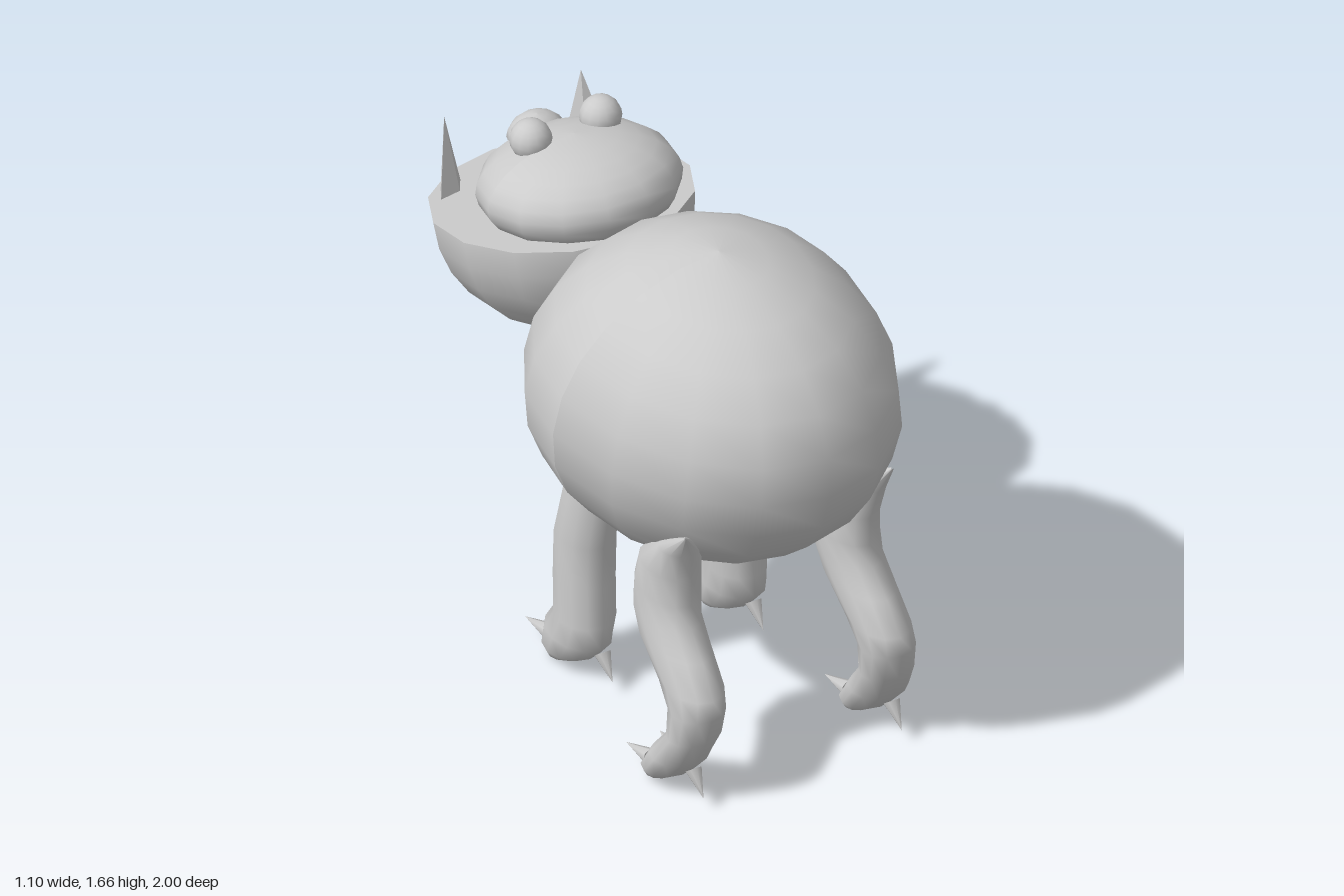
import * as THREE from 'three';

const grey = new THREE.MeshStandardMaterial({ color: 0xcccccc });
const faceted = new THREE.MeshStandardMaterial({ color: 0xcccccc, flatShading: true });
const V = (x, y, z) => new THREE.Vector3(x, y, z);

function add(parent, name, geometry, material = grey) {
  const mesh = new THREE.Mesh(geometry, material);
  mesh.name = name;
  parent.add(mesh);
  return mesh;
}

// Move every vertex by a rule, then refresh the normals
function reshape(geometry, rule) {
  const p = geometry.attributes.position, v = V(0, 0, 0);
  for (let i = 0; i < p.count; i++) {
    rule(v.fromBufferAttribute(p, i));
    p.setXYZ(i, v.x, v.y, v.z);
  }
  return geometry;
}

// Skin over horizontal oval rings: [y, x, z, radiusX, radiusZ], top to bottom
function limb(rings, side, n = 12) {
  const pos = [], idx = [];
  rings.forEach(([y, x, z, rx, rz], i) => {
    for (let j = 0; j < n; j++) {
      const t = (j / n) * Math.PI * 2;
      pos.push(side * x + Math.cos(t) * rx, y, z + Math.sin(t) * rz);
      if (i === rings.length - 1) continue;
      const a = i * n + j, b = i * n + (j + 1) % n;
      idx.push(a, b, a + n, b, b + n, a + n);
    }
  });
  const g = new THREE.BufferGeometry();
  g.setAttribute('position', new THREE.Float32BufferAttribute(pos, 3));
  g.setIndex(idx);
  g.computeVertexNormals();
  return g;
}

// Cone from a base point to a tip
function spike(parent, name, base, tip, radius) {
  const dir = tip.clone().sub(base);
  const mesh = add(parent, name, new THREE.ConeGeometry(radius, dir.length(), 8));
  mesh.position.copy(base).addScaledVector(dir, 0.5);
  mesh.quaternion.setFromUnitVectors(V(0, 1, 0), dir.normalize());
}

const HIND = [
  [0.98, 0.37, 0.76, 0.005, 0.005], [0.89, 0.335, 0.665, 0.065, 0.07],
  [0.78, 0.32, 0.585, 0.085, 0.125], [0.68, 0.32, 0.57, 0.09, 0.14],
  [0.6, 0.325, 0.575, 0.09, 0.145], [0.52, 0.33, 0.63, 0.09, 0.165],
  [0.42, 0.335, 0.735, 0.09, 0.13], [0.35, 0.34, 0.775, 0.09, 0.09],
  [0.25, 0.345, 0.765, 0.09, 0.072], [0.15, 0.355, 0.7, 0.096, 0.09],
  [0.07, 0.355, 0.635, 0.09, 0.08], [0.025, 0.355, 0.605, 0.06, 0.045],
  [0.015, 0.355, 0.6, 0, 0],
];
const FORE = [
  [0.82, 0.25, 0.02, 0, 0], [0.78, 0.25, 0.015, 0.06, 0.06],
  [0.7, 0.25, 0.015, 0.09, 0.1], [0.51, 0.26, -0.02, 0.092, 0.11],
  [0.36, 0.265, -0.017, 0.092, 0.11], [0.22, 0.27, -0.005, 0.092, 0.11],
  [0.14, 0.275, -0.035, 0.095, 0.135], [0.07, 0.275, -0.07, 0.092, 0.105],
  [0.02, 0.275, -0.105, 0.06, 0.055], [0.01, 0.275, -0.11, 0, 0],
];

function leg(name, rings, side, footX, heelZ, toeZ) {
  const g = new THREE.Group();
  g.name = name;
  add(g, 'limb', limb(rings, side));
  const x = side * footX;
  spike(g, 'heelClaw', V(x, 0.13, heelZ - 0.06), V(x, 0.055, heelZ), 0.028);
  for (const s of [-1, 1]) {
    spike(g, 'toeClaw', V(x + s * 0.045, 0.085, toeZ + 0.12), V(x + s * 0.06, 0.075, toeZ), 0.028);
  }
  return g;
}

export function createModel() {
  const model = new THREE.Group();

  // Egg-shaped body, longer towards the rump and leaning back
  const body = reshape(new THREE.SphereGeometry(1, 16, 12), v => {
    const y = v.y * 0.53;
    v.set(v.x * 0.55, y + 1.145, v.z * (v.z < 0 ? 0.62 : 0.73) + 0.27 + 0.14 * y);
  });
  body.computeVertexNormals();
  add(model, 'body', body);

  // Bowl-shaped lower jaw with a flat top
  const jaw = new THREE.Group();
  jaw.name = 'lowerJaw';
  add(jaw, 'jawBowl', new THREE.SphereGeometry(0.415, 14, 7, 0, Math.PI * 2, Math.PI / 2, Math.PI / 2));
  add(jaw, 'jawTop', new THREE.CircleGeometry(0.415, 14).rotateX(-Math.PI / 2));
  jaw.position.set(0, 1.335, -0.59);
  jaw.rotation.set(-0.18, Math.PI / 2, 0);
  model.add(jaw);

  // Domed upper head, cut flat underneath
  const head = new THREE.SphereGeometry(1, 14, 14).scale(0.325, 0.165, 0.31)
    .rotateX(-0.18).translate(0, 1.445, -0.485);
  reshape(head, v => { v.y = Math.max(v.y, 1.374 + 0.077 * (v.z + 0.51)); });
  head.computeVertexNormals();
  add(model, 'upperHead', head);

  // Snout knob, narrowing downwards
  const nose = reshape(new THREE.SphereGeometry(1, 12, 10), v => {
    const k = v.y < 0 ? 1 + 0.35 * v.y : 1;
    v.set(v.x * 0.098 * k, v.y * 0.08 + 1.47, v.z * 0.085 * k - 0.735);
  });
  nose.computeVertexNormals();
  add(model, 'nose', nose);

  for (const side of [-1, 1]) {
    const label = side > 0 ? 'left' : 'right';
    add(model, label + 'Eye', new THREE.SphereGeometry(0.067, 14, 10))
      .position.set(side * 0.125, 1.6, -0.565);

    // Flattened four-sided tusk along the jaw rim
    const tusk = new THREE.ConeGeometry(1, 0.27, 4).scale(0.078, 1, 0.035)
      .rotateY(-side * 0.62).translate(side * 0.245, 1.405, -0.84);
    reshape(tusk, v => { v.z -= Math.max(0, v.y - 1.27) * 0.15; });
    add(model, label + 'Tusk', tusk, faceted);

    model.add(leg(label + 'HindLeg', HIND, side, 0.355, 0.84, 0.48));
    model.add(leg(label + 'ForeLeg', FORE, side, 0.27, 0.16, -0.26));
  }
  return model;
}
